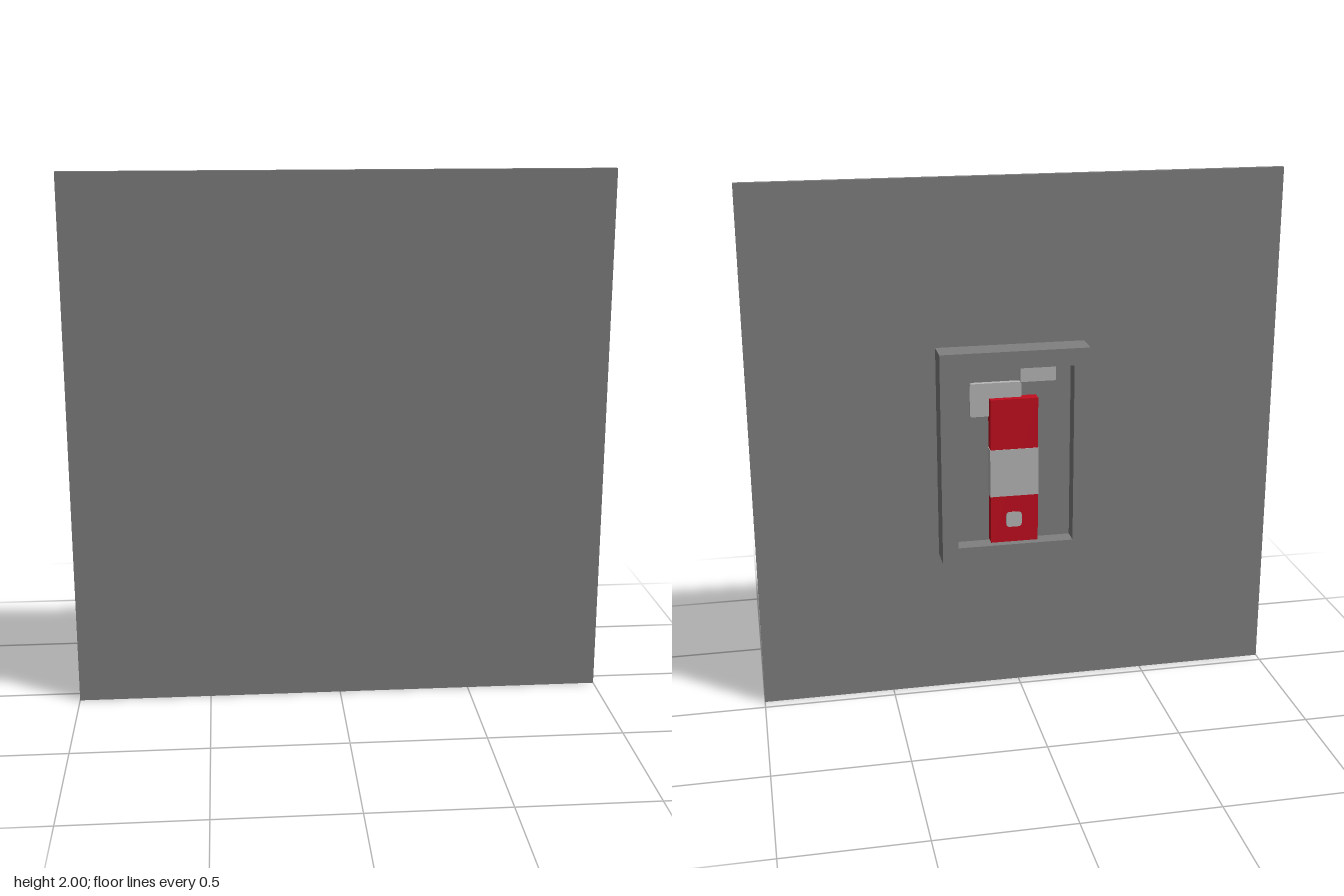
import * as THREE from 'three';

const wallGrey = new THREE.MeshStandardMaterial({ color: 0x808080 });
wallGrey.name = 'wallGrey';
const red = new THREE.MeshStandardMaterial({ color: 0xc30d1e });
red.name = 'red';
const lightGrey = new THREE.MeshStandardMaterial({ color: 0xb8b8b8 });
lightGrey.name = 'lightGrey';

// Box given by its limits on each axis
function box(name, material, [x0, x1], [y0, y1], [z0, z1]) {
  const mesh = new THREE.Mesh(new THREE.BoxGeometry(x1 - x0, y1 - y0, z1 - z0), material);
  mesh.position.set((x0 + x1) / 2, (y0 + y1) / 2, (z0 + z1) / 2);
  mesh.name = name;
  return mesh;
}

// Rectangle outline with optional rounded corners
function rectangle(PathType, x0, x1, y0, y1, r = 0) {
  const p = new PathType();
  p.moveTo(x0 + r, y0);
  p.lineTo(x1 - r, y0);
  if (r) p.quadraticCurveTo(x1, y0, x1, y0 + r);
  p.lineTo(x1, y1 - r);
  if (r) p.quadraticCurveTo(x1, y1, x1 - r, y1);
  p.lineTo(x0 + r, y1);
  if (r) p.quadraticCurveTo(x0, y1, x0, y1 - r);
  p.lineTo(x0, y0 + r);
  if (r) p.quadraticCurveTo(x0, y0, x0 + r, y0);
  return p;
}

// Outline pushed through from z0 to z1
function plate(name, material, shape, z0, z1) {
  const geometry = new THREE.ExtrudeGeometry(shape, { depth: z1 - z0, bevelEnabled: false, curveSegments: 4 });
  const mesh = new THREE.Mesh(geometry, material);
  mesh.position.z = z0;
  mesh.name = name;
  return mesh;
}

export function createModel() {
  const model = new THREE.Group();
  model.name = 'wallCabinet';

  // Wall panel
  model.add(box('wall', wallGrey, [-1, 1], [0, 2], [0.042, 0.063]));

  // Cabinet on the back: open frame with a recessed floor
  const outline = rectangle(THREE.Shape, -0.25, 0.31, 0.565, 1.38);
  outline.holes.push(rectangle(THREE.Path, -0.19, 0.25, 0.625, 1.315));
  model.add(plate('cabinetFrame', wallGrey, outline, -0.063, 0.042));
  model.add(box('cabinetBackPanel', wallGrey, [-0.19, 0.25], [0.625, 1.315], [0, 0.042]));

  // Red canister with a wrapped band and a small tag
  const canister = new THREE.Group();
  canister.name = 'canister';
  canister.add(box('canisterBody', red, [-0.058, 0.122], [0.63, 1.194], [-0.045, 0]));
  canister.add(box('canisterBand', lightGrey, [-0.06, 0.124], [0.815, 1.0], [-0.047, 0]));
  canister.add(plate('canisterTag', lightGrey,
    rectangle(THREE.Shape, 0.004, 0.064, 0.69, 0.75, 0.015), -0.047, -0.044));
  model.add(canister);

  // Nozzle plate and lever above the canister
  model.add(plate('nozzlePlate', lightGrey,
    rectangle(THREE.Shape, 0.0, 0.194, 1.125, 1.252, 0.012), -0.02, 0));
  model.add(box('lever', lightGrey, [-0.13, 0.004], [1.25, 1.312], [-0.02, 0]));

  return model;
}
